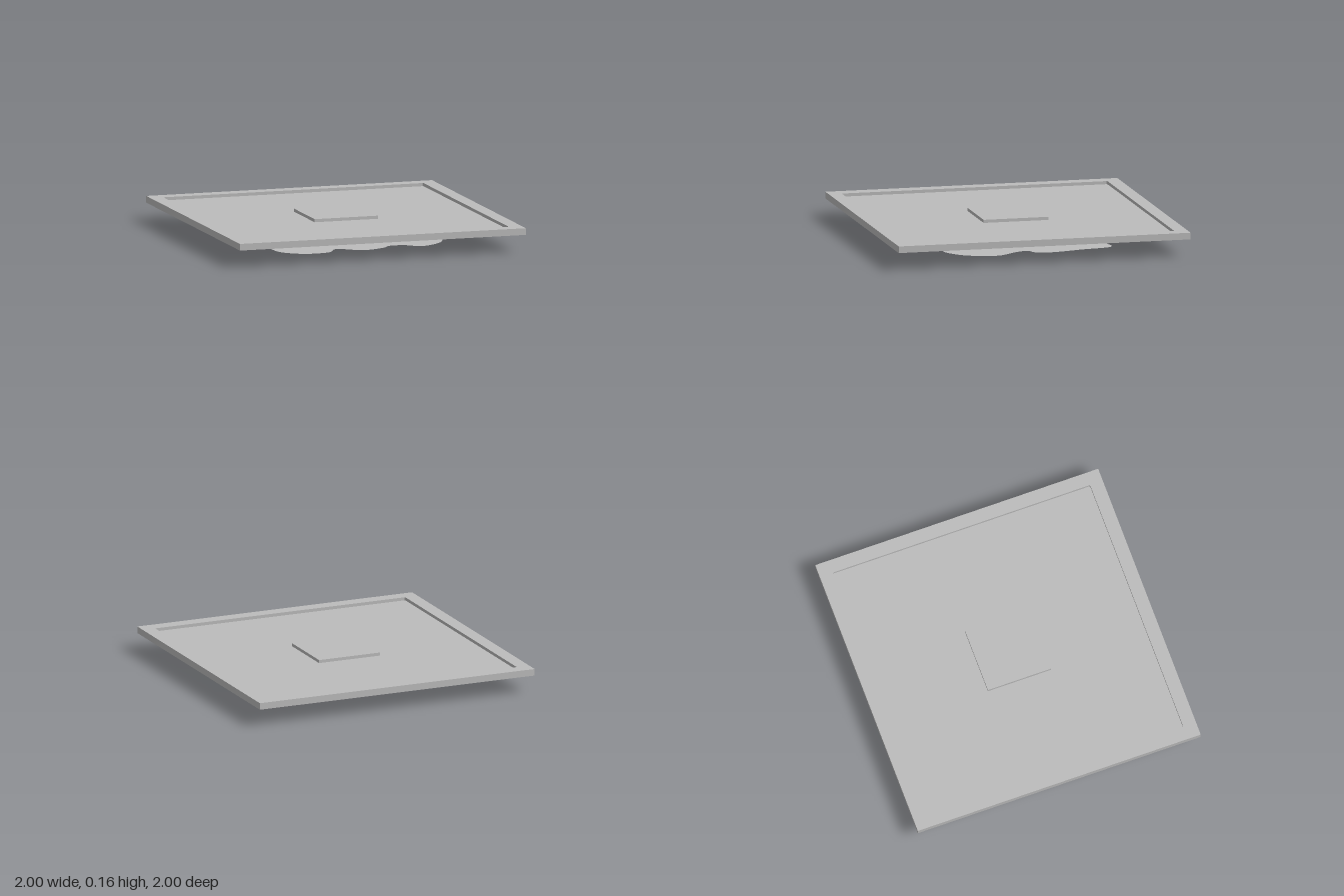
import * as THREE from 'three';

const BOTTOM = 0.118, TOP = 0.163, FLOOR = 0.142;

// Square path with slightly rounded corners
function square(path, h, r) {
  path.moveTo(-h + r, -h);
  for (const [sx, sy, a] of [[1, -1, -0.5], [1, 1, 0], [-1, 1, 0.5], [-1, -1, 1]]) {
    path.absarc(sx * (h - r), sy * (h - r), r, a * Math.PI, (a + 0.5) * Math.PI, false);
  }
  return path;
}

export function createModel() {
  const group = new THREE.Group();
  const grey = new THREE.MeshStandardMaterial({ color: 0xbcbcbc });
  grey.name = 'grey';
  const greySheet = new THREE.MeshStandardMaterial({ color: 0xbcbcbc, side: THREE.DoubleSide });
  greySheet.name = 'grey sheet';

  const add = (name, geometry, y, material = grey) => {
    const mesh = new THREE.Mesh(geometry, material);
    mesh.name = name;
    mesh.position.y = y;
    group.add(mesh);
  };

  // Raised square rim, standing proud of the panel above and below
  const rimShape = new THREE.Shape([[-1, -1], [1, -1], [1, 1], [-1, 1]].map(p => new THREE.Vector2(...p)));
  rimShape.holes.push(square(new THREE.Path(), 0.91, 0.01));
  const rim = new THREE.ExtrudeGeometry(rimShape, { depth: TOP - BOTTOM, bevelEnabled: false, curveSegments: 4 });
  rim.rotateX(-Math.PI / 2);
  add('rim', rim, BOTTOM);

  // Thin recessed panel
  add('panel', new THREE.BoxGeometry(1.83, 0.004, 1.83), FLOOR - 0.002);

  // Square block in the middle, level with the rim
  add('centreBlock', new THREE.BoxGeometry(0.445, TOP - FLOOR, 0.445), (TOP + FLOOR) / 2);

  // Flat lobed sheet on the ground: outline as x, z pairs
  const outline = [
    [0.58, 0.45], [0.65, 0.23], [0.56, 0.09], [0.53, 0.0], [0.6, -0.04], [0.62, -0.14],
    [0.57, -0.37], [0.52, -0.58], [0.37, -0.55], [0.305, -0.4], [0.2, -0.54], [0.09, -0.57],
    [-0.02, -0.52], [-0.13, -0.54], [-0.23, -0.46], [-0.34, -0.58], [-0.58, -0.52], [-0.67, -0.25],
    [-0.545, 0.0], [-0.44, 0.17], [-0.38, 0.2], [-0.54, 0.25], [-0.55, 0.48], [-0.41, 0.6],
    [-0.24, 0.59], [-0.155, 0.48], [0.0, 0.58], [0.16, 0.53], [0.22, 0.47], [0.33, 0.48], [0.41, 0.55],
  ].map(([x, z]) => new THREE.Vector3(x, z, 0));
  const curve = new THREE.CatmullRomCurve3(outline, true);
  const sheet = new THREE.ShapeGeometry(new THREE.Shape(
    curve.getPoints(124).slice(0, -1).map(p => new THREE.Vector2(p.x, p.y))));
  sheet.rotateX(Math.PI / 2);
  add('groundSheet', sheet, 0, greySheet);

  return group;
}
